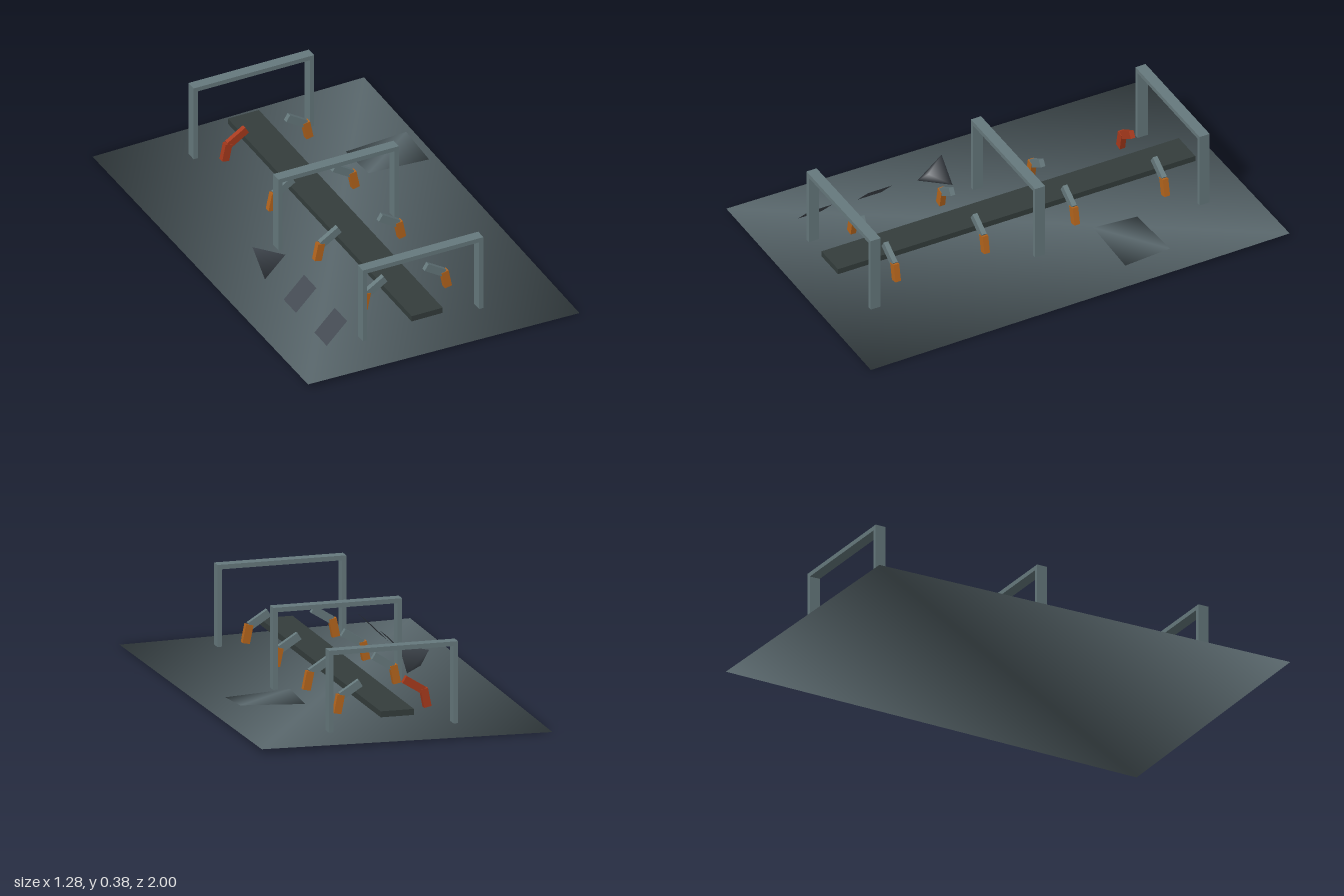
import * as THREE from 'three';

const mat = (color) => new THREE.MeshStandardMaterial({ color });
const steel = mat(0x66797d);
const floorGrey = mat(0x5a686d);
const beltDark = mat(0x343d3c);
const crateDark = mat(0x434a52);
const orange = mat(0xb5651d);
const red = mat(0xa83a1c);

function add(parent, name, geometry, material, x = 0, y = 0, z = 0, rz = 0) {
  const mesh = new THREE.Mesh(geometry, material);
  mesh.name = name;
  mesh.position.set(x, y, z);
  mesh.rotation.z = rz;
  parent.add(mesh);
  return mesh;
}

const box = (w, h, d) => new THREE.BoxGeometry(w, h, d);

// Four-cornered wedge filling a w x h x d space. s = 1 puts the upper ridge
// on the (-x,-z) to (+x,+z) diagonal, s = -1 on the other one.
function wedge(w, h, d, s) {
  const corners = [[-s, 1, -1], [s, 1, 1], [s, -1, -1], [-s, -1, 1]];
  const g = new THREE.BufferGeometry();
  const p = corners.flatMap(([x, y, z]) => [x * w / 2, y * h / 2, z * d / 2]);
  g.setAttribute('position', new THREE.Float32BufferAttribute(p, 3));
  const faces = [[0, 1, 2], [0, 3, 1], [0, 2, 3], [1, 3, 2]];
  g.setIndex(faces.flatMap(([a, b, c]) => (s > 0 ? [a, b, c] : [a, c, b])));
  g.computeVertexNormals();
  return g;
}

// Gate: two posts and a crossbeam
function gate(z) {
  const g = new THREE.Group();
  g.name = 'gate';
  for (const side of [-1, 1]) add(g, 'gatePost', box(0.02, 0.335, 0.048), steel, side * 0.274, 0.1875, 0);
  add(g, 'gateBeam', box(0.568, 0.02, 0.048), steel, 0, 0.365, 0);
  g.position.z = z;
  return g;
}

// Two-piece arm, side = +1 on the model's left
function arm(side, z, upperMaterial, lowerMaterial) {
  const g = new THREE.Group();
  g.name = 'arm';
  add(g, 'upperArm', box(0.1, 0.034, 0.022), upperMaterial, side * 0.139, 0.159, 0, -side * 0.56);
  add(g, 'lowerArm', box(0.033, 0.081, 0.026), lowerMaterial, side * 0.191, 0.1, 0, side * 0.2);
  g.position.z = z;
  return g;
}

export function createModel() {
  const model = new THREE.Group();
  model.name = 'assemblyLine';

  // Floor and raised side panel
  add(model, 'floor', wedge(1.28, 0.02, 2, -1), floorGrey, 0, 0.01, 0);
  add(model, 'sidePanel', wedge(0.285, 0.015, 0.212, -1), floorGrey, 0.425, 0.071, -0.36);

  // Conveyor and gates
  add(model, 'conveyorBelt', box(0.146, 0.026, 1.706), beltDark, -0.002, 0.095, -0.003);
  for (const z of [-0.786, 0, 0.785]) model.add(gate(z));

  // Arms on both sides; the rear one on the model's right is all red
  for (const z of [-0.645, -0.215, 0.215, 0.64]) {
    for (const side of [-1, 1]) {
      const alarm = side < 0 && z < -0.6;
      model.add(arm(side, z, alarm ? red : steel, alarm ? red : orange));
    }
  }

  // Wedge crate and two slanted plates
  add(model, 'wedgeCrate', wedge(0.097, 0.095, 0.115, 1), crateDark, -0.387, 0.0675, 0.14);
  const plateMaterial = crateDark.clone();
  plateMaterial.side = THREE.DoubleSide;
  for (const z of [0.428, 0.713]) {
    const plate = new THREE.PlaneGeometry(0.136, 0.115).rotateX(-Math.PI / 2);
    add(model, 'slantedPlate', plate, plateMaterial, -0.387, 0.0675, z, Math.PI / 4);
  }
  return model;
}
